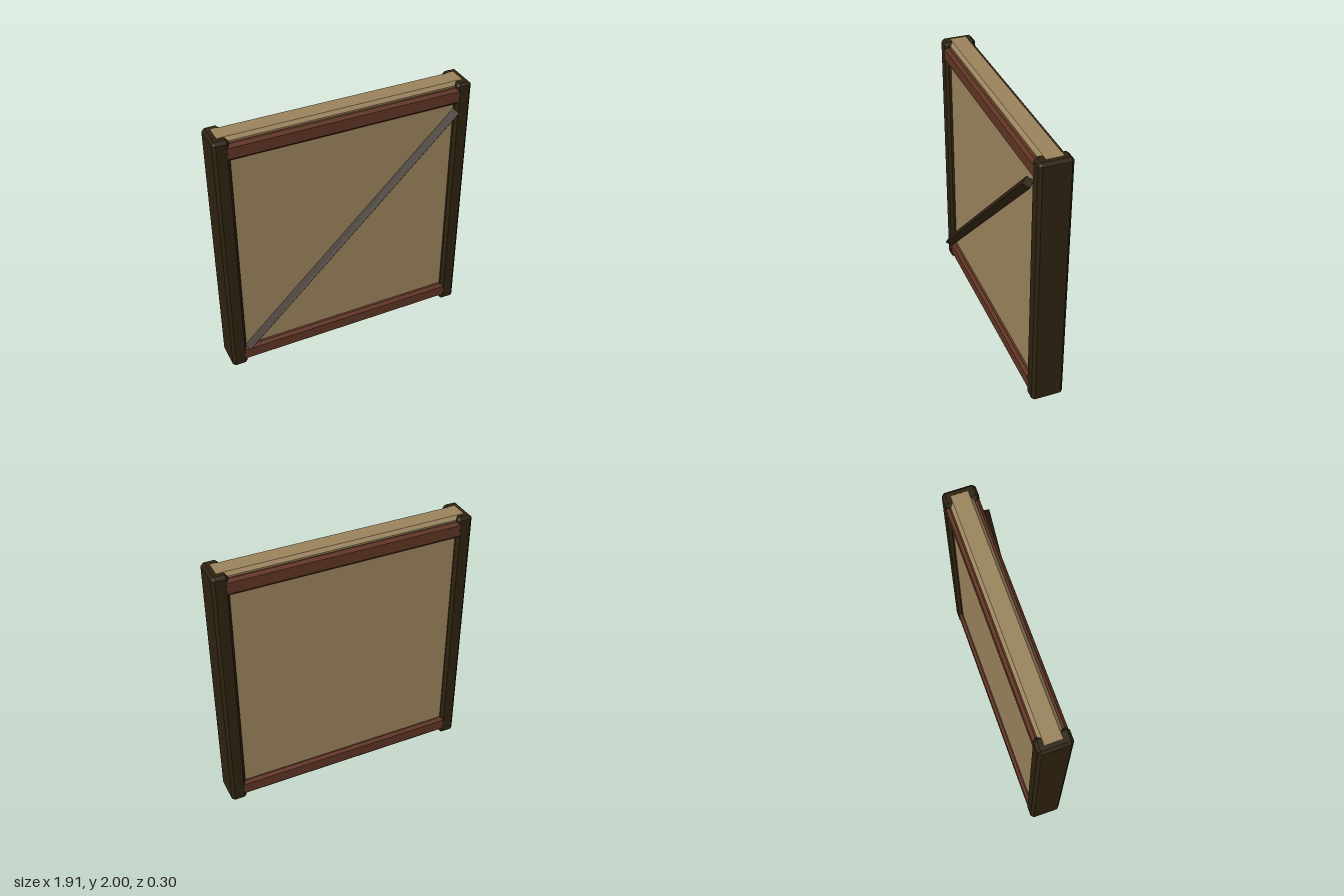
import * as THREE from 'three';
import { ConvexGeometry } from 'three/addons/geometries/ConvexGeometry.js';

// Box with every edge chamfered by c: hull of three points per corner
function chamferedBox(w, h, d, c) {
  const points = [];
  for (const sx of [-1, 1]) for (const sy of [-1, 1]) for (const sz of [-1, 1]) {
    const x = w / 2, y = h / 2, z = d / 2;
    points.push(
      new THREE.Vector3(sx * x, sy * (y - c), sz * (z - c)),
      new THREE.Vector3(sx * (x - c), sy * y, sz * (z - c)),
      new THREE.Vector3(sx * (x - c), sy * (y - c), sz * z)
    );
  }
  return new ConvexGeometry(points);
}

export function createModel() {
  const group = new THREE.Group();
  const material = (name, color) => {
    const m = new THREE.MeshStandardMaterial({ color });
    m.name = name;
    return m;
  };
  const tan = material('tan plaster', 0x9c855e);
  const brown = material('red brown wood', 0x603524);
  const dark = material('dark wood', 0x2e2310);

  const add = (name, geometry, mat, x, y, z) => {
    const mesh = new THREE.Mesh(geometry, mat);
    mesh.name = name;
    mesh.position.set(x, y, z);
    group.add(mesh);
    return mesh;
  };

  const frameZ = -0.029;
  const chamfer = 0.021;

  // Infill panel
  add('panel', chamferedBox(1.86, 2, 0.168, 0.023), tan, 0, 1, -0.033);

  // Upright posts, a hair shorter than the panel
  const post = chamferedBox(0.118, 1.998, 0.238, chamfer);
  add('leftPost', post, dark, 0.897, 1, frameZ);
  add('rightPost', post, dark, -0.897, 1, frameZ);

  // Horizontal rails, running into the posts
  const rail = chamferedBox(1.78, 0.126, 0.236, chamfer);
  add('topRail', rail, brown, 0, 1.902, frameZ);
  add('bottomRail', rail, brown, 0, 0.1, frameZ);

  // Diagonal brace: square bar turned on edge so a ridge faces forward
  const endX = 0.83, endY = 0.807, side = 0.058;
  const bar = new THREE.BoxGeometry(2 * Math.hypot(endX, endY), side, side);
  bar.rotateX(Math.PI / 4);
  const brace = add('diagonalBrace', bar, dark, 0, 1, 0.107);
  brace.rotation.z = Math.atan2(endY, endX);

  return group;
}
